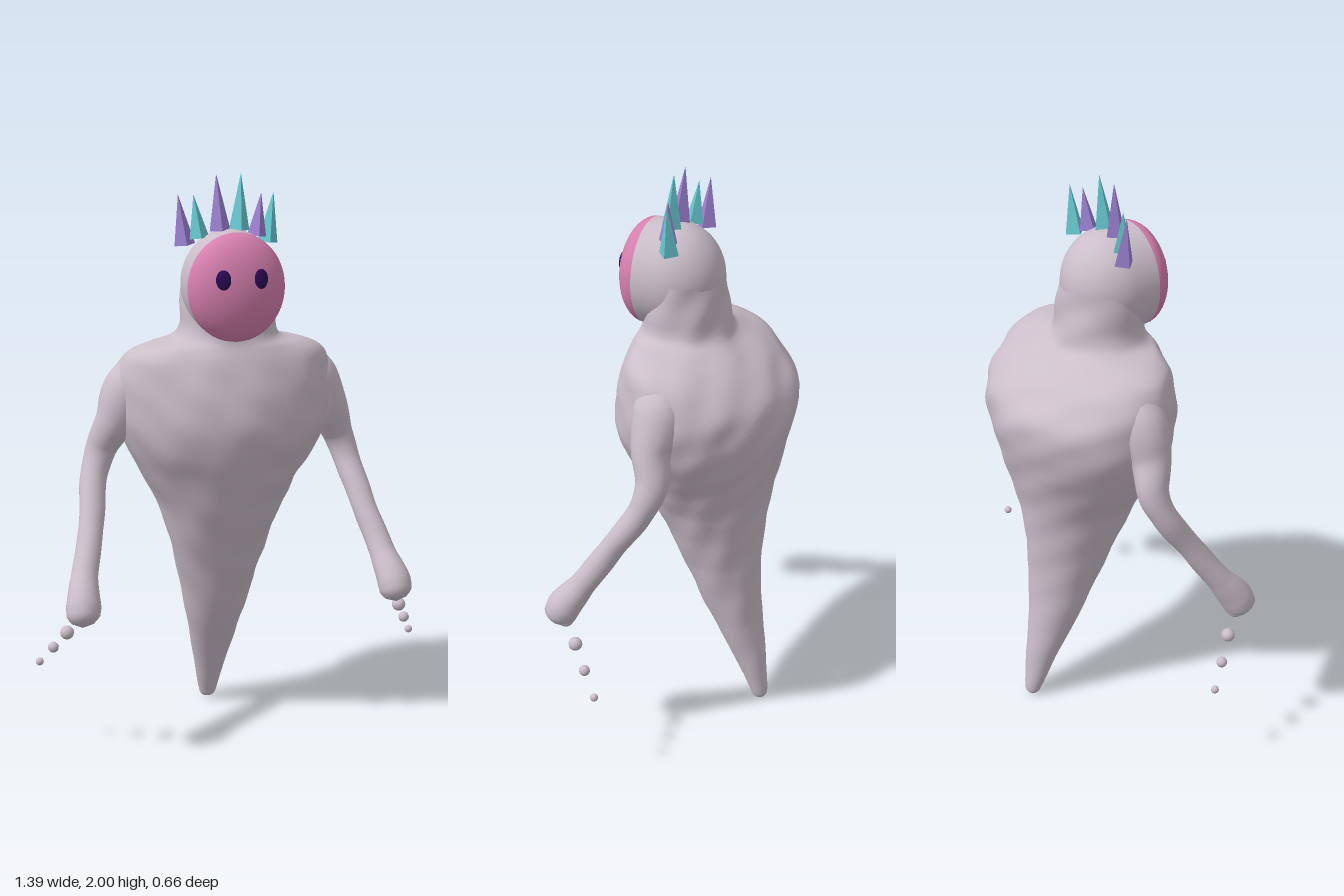
import * as THREE from 'three';
import { mergeVertices } from 'three/addons/utils/BufferGeometryUtils.js';

const mat = (name, color) => Object.assign(new THREE.MeshStandardMaterial({ color }), { name });

// Gentle lumps that make the skin look hand-modelled
const lump = (x, y, z) =>
  0.004 * Math.sin(31 * x + 17 * y) * Math.sin(27 * y + 1.3) + 0.003 * Math.sin(43 * z + 23 * y + 19 * x);

// Weld seams and smooth the normals
function smooth(geometry) {
  geometry.deleteAttribute('uv');
  geometry.deleteAttribute('normal');
  const g = mergeVertices(geometry, 1e-5);
  g.computeVertexNormals();
  return g;
}

// Horizontal elliptical rings: [y, half width, front z, back z]
function bodyGeometry() {
  const rings = [
    [0, 0.001, -0.24, -0.242], [0.012, 0.024, -0.217, -0.262], [0.05, 0.036, -0.198, -0.266],
    [0.2, 0.066, -0.125, -0.252], [0.4, 0.11, -0.02, -0.23], [0.6, 0.155, 0.07, -0.225],
    [0.8, 0.215, 0.16, -0.245], [0.95, 0.285, 0.22, -0.28], [1.05, 0.345, 0.26, -0.305],
    [1.15, 0.378, 0.28, -0.325], [1.25, 0.385, 0.272, -0.315], [1.33, 0.375, 0.25, -0.25],
    [1.385, 0.345, 0.23, -0.18], [1.42, 0.28, 0.213, -0.125], [1.443, 0.195, 0.205, -0.105],
    [1.48, 0.168, 0.2, -0.095], [1.55, 0.164, 0.195, -0.085], [1.64, 0.155, 0.17, -0.07],
  ];
  const a = new THREE.CatmullRomCurve3(rings.map(r => new THREE.Vector3(r[0], r[1], 0)), false, 'catmullrom');
  const b = new THREE.CatmullRomCurve3(rings.map(r => new THREE.Vector3(r[2], r[3], 0)), false, 'catmullrom');
  const rows = 85, cols = 56, pos = [], index = [];
  for (let j = 0; j <= rows; j++) {
    const p = a.getPoint(j / rows), q = b.getPoint(j / rows);
    const cz = (q.x + q.y) / 2, rz = (q.x - q.y) / 2;
    for (let i = 0; i < cols; i++) {
      const t = i / cols * Math.PI * 2, c = Math.cos(t), s = Math.sin(t);
      const k = lump(c * p.y, p.x, s * rz) * Math.min(1, p.y * 5);
      pos.push(c * (p.y + k), Math.max(0, p.x), cz + s * (rz + k));
      if (j < rows) {
        const n = (i + 1) % cols, o = j * cols, u = o + cols;
        index.push(o + i, u + i, o + n, o + n, u + i, u + n);
      }
    }
  }
  const g = new THREE.BufferGeometry();
  g.setAttribute('position', new THREE.Float32BufferAttribute(pos, 3));
  g.setIndex(index);
  g.computeVertexNormals();
  return g;
}

// Bent arm: a unit tube whose radius follows height; side is 1 or -1
function armGeometry(side) {
  const path = new THREE.CatmullRomCurve3([
    [0.25, 1.33, 0], [0.33, 1.26, 0], [0.385, 1.15, 0], [0.43, 1.05, -0.022], [0.46, 0.96, 0.005],
    [0.495, 0.8, 0.105], [0.535, 0.66, 0.2], [0.555, 0.57, 0.26], [0.56, 0.505, 0.285],
  ].map(([x, y, z]) => new THREE.Vector3(side * x, y, z)));
  const radii = [[1.34, 0.09], [1.26, 0.092], [1.15, 0.07], [1.05, 0.054], [0.96, 0.047], [0.8, 0.043],
    [0.66, 0.046], [0.61, 0.054], [0.57, 0.06], [0.54, 0.057], [0.52, 0.042], [0.51, 0.025], [0.505, 0]];
  const radiusAt = y => {
    for (let i = 1; i < radii.length; i++) {
      const [y0, r0] = radii[i - 1], [y1, r1] = radii[i];
      if (y >= y1) return THREE.MathUtils.lerp(r0, r1, THREE.MathUtils.clamp((y0 - y) / (y0 - y1), 0, 1));
    }
    return 0;
  };
  const rows = 80, cols = 20;
  const g = new THREE.TubeGeometry(path, rows, 1, cols, false);
  const p = g.attributes.position, v = new THREE.Vector3();
  for (let j = 0; j <= rows; j++) {
    const c = path.getPointAt(j / rows), r = radiusAt(c.y);
    for (let i = 0; i <= cols; i++) {
      const k = j * (cols + 1) + i;
      v.fromBufferAttribute(p, k).sub(c);
      const d = r + lump(v.x * 0.05, c.y, v.z * 0.05) * Math.min(0.6, r * 10);
      v.multiplyScalar(d).add(c);
      p.setXYZ(k, v.x, v.y, v.z);
    }
  }
  return smooth(g);
}

// Head pieces are lathes around the z axis: quarter ellipse from angle a0 to a1
function headGeometry(points) {
  return smooth(new THREE.LatheGeometry(points, 48).rotateX(Math.PI / 2).scale(0.168, 0.186, 1).translate(0, 1.63, 0));
}

export function createModel() {
  const group = new THREE.Group();
  const skin = mat('paleSkin', 0xcbbec9);
  const pink = mat('pinkFace', 0xd67fae);
  const dark = mat('darkEye', 0x2a0a52);
  const teal = mat('tealSpike', 0x68c8d0);
  const purple = mat('purpleSpike', 0x9c80d0);
  const add = (name, geometry, material) => {
    const m = new THREE.Mesh(geometry, material);
    m.name = name;
    group.add(m);
    return m;
  };

  add('body', bodyGeometry(), skin);

  // Head: rounded back running into a domed face
  const back = [], face = [];
  for (let i = 0; i <= 16; i++) {
    const t = i / 16 * Math.PI / 2;
    back.push(new THREE.Vector2(Math.sin(t), 0.1 - 0.175 * Math.cos(t)));
    face.push(new THREE.Vector2(Math.cos(t), 0.185 + 0.095 * Math.sin(t)));
  }
  back.push(new THREE.Vector2(1, 0.185));
  add('head', headGeometry(back), skin);
  add('face', headGeometry(face), pink);

  // Spike crown: [base x, y, z], [tip x, y, z], base radius
  const spikes = [
    [[0.145, 1.76, 0.05], [0.167, 1.93, 0.045], 0.036],
    [[0.1, 1.785, 0.075], [0.118, 1.93, 0.065], 0.034],
    [[0.033, 1.81, 0.095], [0.043, 2, 0.08], 0.036],
  ];
  const up = new THREE.Vector3(0, 1, 0);

  for (const side of [1, -1]) {
    const label = side > 0 ? 'left' : 'right';
    add(label + 'Arm', armGeometry(side), skin);

    // Beads trailing from the hand
    [[0.565, 0.53, 0.25, 0.03], [0.6, 0.46, 0.195, 0.024], [0.64, 0.39, 0.14, 0.019], [0.68, 0.32, 0.083, 0.014]]
      .forEach(([x, y, z, r], i) =>
        add(label + 'Bead' + (i + 1), new THREE.SphereGeometry(r, 16, 12), skin).position.set(side * x, y, z));

    const eye = add(label + 'Eye', new THREE.SphereGeometry(1, 24, 16), dark);
    eye.scale.set(0.026, 0.034, 0.012);
    eye.position.set(side * 0.064, 1.67, 0.266);
    eye.rotation.set(-0.12, side * 0.25, 0);

    spikes.forEach(([base, tip, r], i) => {
      const b = new THREE.Vector3(side * base[0], base[1], base[2]);
      const t = new THREE.Vector3(side * tip[0], tip[1], tip[2]);
      const h = b.distanceTo(t);
      const cone = new THREE.ConeGeometry(r, h, 4).toNonIndexed();
      cone.computeVertexNormals();
      const m = add(label + 'Spike' + (i + 1), cone, (i % 2 === 0) === (side > 0) ? teal : purple);
      m.position.copy(b).add(t).multiplyScalar(0.5);
      m.quaternion.setFromUnitVectors(up, t.sub(b).normalize());
    });
  }
  return group;
}
